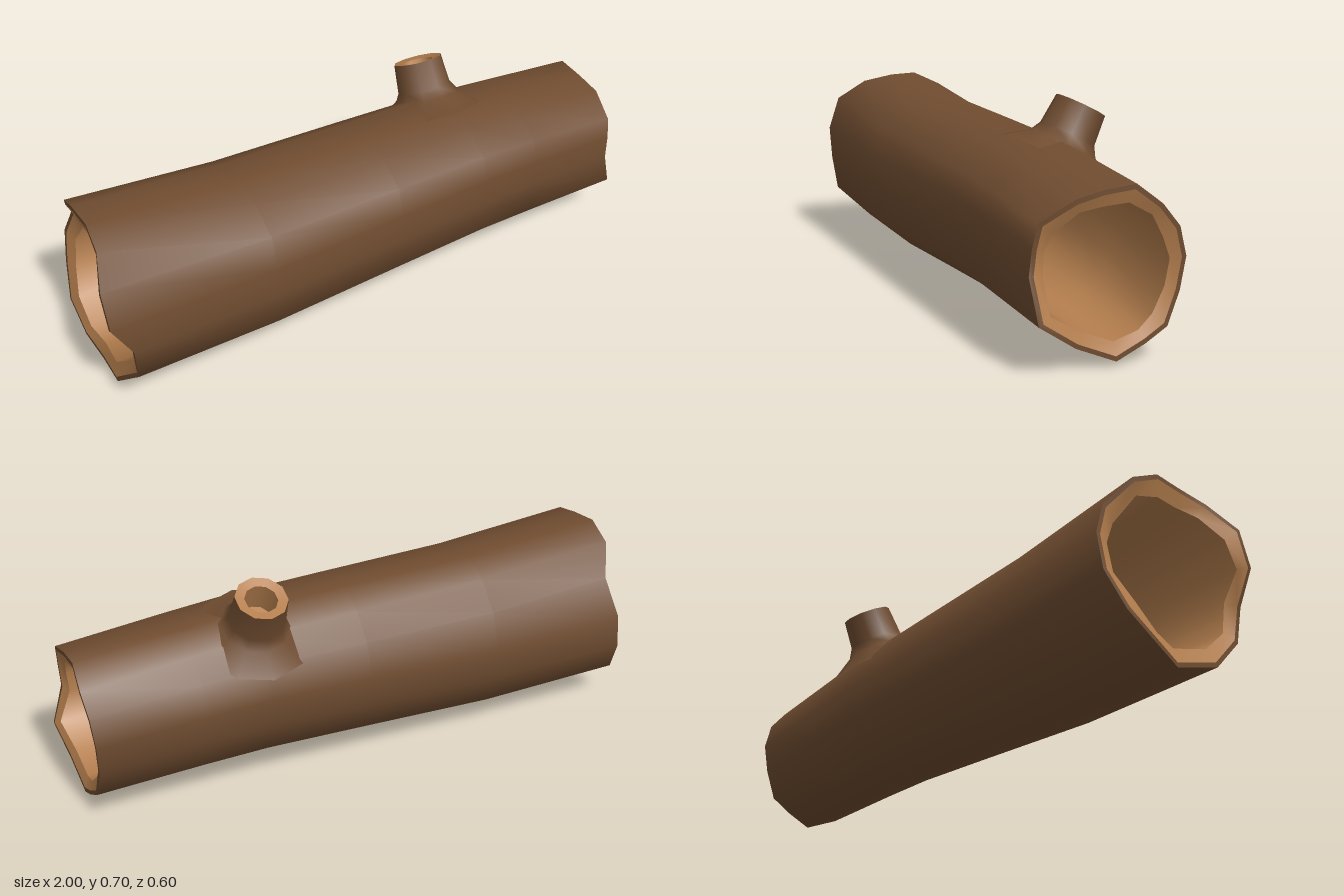
import * as THREE from 'three';

const bark = new THREE.MeshStandardMaterial({ color: 0x6f4c30 });
bark.name = 'bark brown';
const wood = new THREE.MeshStandardMaterial({ color: 0xb57f4e });
wood.name = 'cut wood tan';

// End outlines, listed from the front over the top: [x, y, z]
const LEFT = [
  [-0.94, 0.31, 0.298], [-1.0, 0.42, 0.29], [-1.0, 0.54, 0.25], [-0.96, 0.61, 0.15],
  [-0.945, 0.633, 0.04], [-0.95, 0.637, -0.06], [-0.94, 0.59, -0.16], [-0.89, 0.49, -0.24],
  [-0.915, 0.36, -0.3], [-0.93, 0.235, -0.295], [-0.955, 0.12, -0.235], [-0.955, 0.05, -0.12],
  [-0.94, 0.012, -0.02], [-0.955, 0.055, 0.14], [-0.93, 0.185, 0.28],
];
const RIGHT = [
  [0.955, 0.28, 0.262], [0.96, 0.36, 0.255], [0.965, 0.43, 0.24], [0.985, 0.49, 0.14],
  [0.98, 0.51, 0.05], [0.98, 0.52, -0.05], [0.985, 0.46, -0.13], [0.98, 0.39, -0.19],
  [0.975, 0.3, -0.215], [0.97, 0.2, -0.2], [0.975, 0.1, -0.16], [0.98, 0.06, -0.09],
  [0.975, 0.015, 0.0], [0.98, 0.07, 0.13], [0.998, 0.15, 0.25],
];
const N = LEFT.length;

// Shrink an end outline around its centre, pulling it into the log by `inset`
function endRing(outline, scale, inset = 0, wobble = 0) {
  const cy = outline === LEFT ? 0.32 : 0.27, cz = outline === LEFT ? 0 : 0.02;
  const side = Math.sign(outline[0][0]);
  return outline.map(([x, y, z], i) => {
    const s = scale + wobble * Math.sin(i * 2.4);
    return [x - side * inset, cy + (y - cy) * s, cz + (z - cz) * s];
  });
}

// Ring part-way along the log, with a slight bend
function midRing(x, bend, scale = 1) {
  const a = endRing(LEFT, scale), b = endRing(RIGHT, scale), t = (x + 0.95) / 1.93;
  return a.map((p, i) => [
    x,
    THREE.MathUtils.lerp(p[1], b[i][1], t) + bend,
    THREE.MathUtils.lerp(p[2], b[i][2], t),
  ]);
}

// Skin a row of closed rings
function loft(name, rings, material) {
  const index = [];
  for (let r = 0; r < rings.length - 1; r++) {
    for (let i = 0; i < N; i++) {
      const j = (i + 1) % N;
      const a = r * N + i, b = a + N, c = r * N + j, d = c + N;
      index.push(a, b, c, c, b, d);
    }
  }
  const g = new THREE.BufferGeometry();
  g.setAttribute('position', new THREE.Float32BufferAttribute(rings.flat(2), 3));
  g.setIndex(index);
  g.computeVertexNormals();
  const mesh = new THREE.Mesh(g, material);
  mesh.name = name;
  return mesh;
}

function lathe(name, points, material) {
  const g = new THREE.LatheGeometry(points.map(([r, y]) => new THREE.Vector2(r, y)), 10);
  const mesh = new THREE.Mesh(g, material);
  mesh.name = name;
  return mesh;
}

export function createModel() {
  const model = new THREE.Group();
  model.name = 'hollowLog';

  // Stations along the log: [x, bend]
  const stations = [[-0.43, -0.012], [0.05, 0.005], [0.4, 0.016], [0.62, 0.012]];
  const outer = stations.map(([x, b]) => midRing(x, b));
  const inner = stations.map(([x, b]) => midRing(x, b, 0.78)).reverse();

  const lip = { left: endRing(LEFT, 0.95), right: endRing(RIGHT, 0.94) };
  const mouth = {
    left: endRing(LEFT, 0.8, 0.015, 0.03),
    right: endRing(RIGHT, 0.8, 0.015, 0.03),
  };

  // Bark shell, broken bark edges, cut rims and hollow
  model.add(
    loft('barkShell', [LEFT, ...outer, RIGHT], bark),
    loft('rightBarkEdge', [RIGHT, lip.right], bark),
    loft('rightRim', [lip.right, mouth.right], wood),
    loft('hollow', [mouth.right, ...inner, mouth.left], wood),
    loft('leftRim', [mouth.left, lip.left], wood),
    loft('leftBarkEdge', [lip.left, LEFT], bark),
  );

  // Broken branch stub leaning up and back, with a flared foot
  const branch = new THREE.Group();
  branch.name = 'branchStub';
  branch.add(
    lathe('branchBark', [[0.19, -0.185], [0.115, -0.135], [0.095, -0.1], [0.086, 0]], bark),
    lathe('branchRim', [[0.086, 0], [0.054, -0.006]], wood),
    lathe('branchHollow', [[0.054, -0.006], [0.047, -0.1]], wood),
    lathe('branchHollowFloor', [[0.047, -0.1], [0, -0.1]], wood),
  );
  branch.position.set(0.395, 0.66, -0.162);
  branch.rotation.x = -0.47;
  model.add(branch);

  return model;
}
